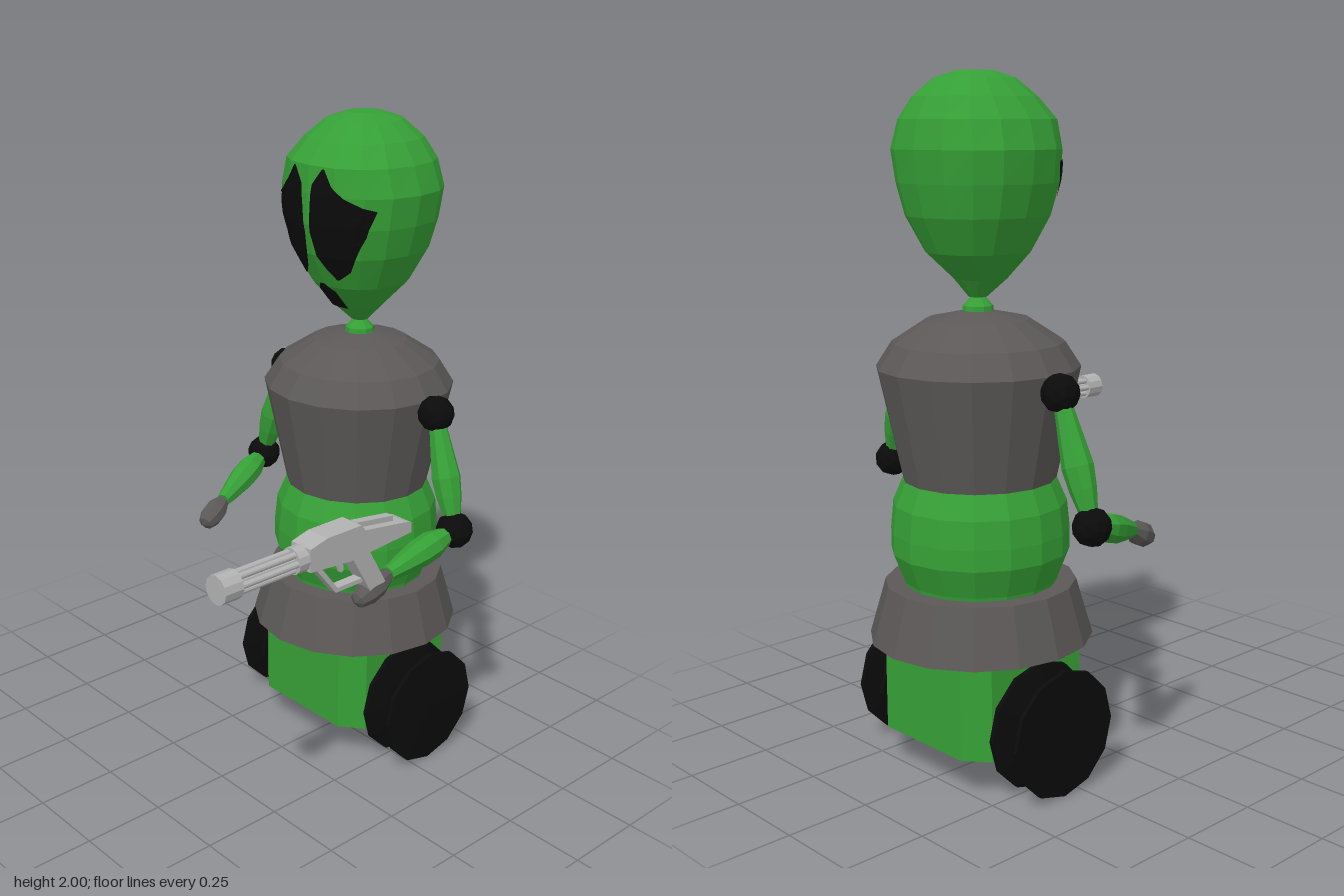
import * as THREE from 'three';

const mat = (name, color) => new THREE.MeshStandardMaterial({ name, color, flatShading: true });
const V = (x, y, z) => new THREE.Vector3(x, y, z);
const ZC = -0.315; // depth of the body axis

// Head sections: y, half width, front z, back z
const HEAD = [
  [1.385, 0.025, -0.29, -0.34], [1.435, 0.075, -0.235, -0.375], [1.51, 0.14, -0.17, -0.455],
  [1.61, 0.195, -0.12, -0.505], [1.7, 0.222, -0.098, -0.525], [1.79, 0.235, -0.095, -0.535],
  [1.87, 0.21, -0.1, -0.52], [1.93, 0.165, -0.15, -0.485], [1.98, 0.105, -0.205, -0.43],
  [2.0, 0.05, -0.265, -0.37],
];
const SIDES = 16;

function headPoint([y, w, zf, zb], i) {
  const a = (i / SIDES) * Math.PI * 2;
  const p = (t) => Math.sign(t) * Math.abs(t) ** 0.88;
  return V(w * p(Math.sin(a)), y, (zf + zb) / 2 + ((zf - zb) / 2) * p(Math.cos(a)));
}

// Depth of the face surface at x, y
function faceZ(x, y) {
  let k = 0;
  while (k < HEAD.length - 2 && HEAD[k + 1][0] < y) k++;
  const t = (y - HEAD[k][0]) / (HEAD[k + 1][0] - HEAD[k][0]);
  const section = HEAD[k].map((v, j) => v + (HEAD[k + 1][j] - v) * t);
  for (let i = 0; i < SIDES / 4; i++) {
    const a = headPoint(section, i), b = headPoint(section, i + 1);
    if (Math.abs(x) <= b.x || i === SIDES / 4 - 1) {
      return a.z + (b.z - a.z) * Math.min(1, (Math.abs(x) - a.x) / (b.x - a.x));
    }
  }
}

// Surface from rows of points, each row the same length
function gridGeometry(rows) {
  const n = rows[0].length, index = [];
  for (let r = 0; r < rows.length - 1; r++) {
    for (let c = 0; c < n - 1; c++) {
      const a = r * n + c, b = a + n;
      index.push(a, b, a + 1, b, b + 1, a + 1);
    }
  }
  const g = new THREE.BufferGeometry().setFromPoints(rows.flat());
  g.setIndex(index);
  g.computeVertexNormals();
  return g;
}

// Thin patch lying on the face; rows run downwards as [y, x1, x2]
function facePatch(table) {
  const rows = [];
  for (let k = 0; k < table.length - 1; k++) {
    for (let s = k ? 1 : 0; s <= 3; s++) {
      const [y, x1, x2] = table[k].map((v, j) => v + (table[k + 1][j] - v) * (s / 3));
      const l = Math.min(x1, x2), r = Math.max(x1, x2);
      rows.push(Array.from({ length: 9 }, (_, c) => {
        const x = l + ((r - l) * c) / 8;
        return V(x, y, faceZ(x, y) + 0.007);
      }));
    }
  }
  return gridGeometry(rows);
}

const lathe = (points, sides) =>
  new THREE.LatheGeometry(points.map(([r, y]) => new THREE.Vector2(r, y)), sides);

// Side outline in (z, y), extruded across x
function sidePlate(points, width) {
  const shape = new THREE.Shape(points.map(([z, y]) => new THREE.Vector2(z, y)));
  const g = new THREE.ExtrudeGeometry(shape, { depth: width, bevelEnabled: false });
  return g.translate(0, 0, -width / 2).rotateY(-Math.PI / 2);
}

export function createModel() {
  const green = mat('green skin', 0x36a036), grey = mat('dark grey armour', 0x5c5858);
  const black = mat('black', 0x0b0b0b), silver = mat('silver metal', 0xb2b2b2);
  const model = new THREE.Group();
  model.name = 'alienRobot';

  const add = (name, geometry, material, x = 0, y = 0, z = 0, parent = model) => {
    const m = new THREE.Mesh(geometry, material);
    m.name = name;
    m.position.set(x, y, z);
    parent.add(m);
    return m;
  };

  // Body of revolution
  add('skirt', lathe([[0, 0.4], [0.325, 0.4], [0.277, 0.565], [0, 0.565]], 16), grey, 0, 0, ZC);
  add('belly', lathe([[0.22, 0.55], [0.225, 0.575], [0.258, 0.66], [0.258, 0.72], [0.25, 0.8], [0.22, 0.87]], 16),
    green, 0, 0, ZC);
  add('torso', lathe([[0, 0.865], [0.22, 0.865], [0.29, 1.19], [0.245, 1.26], [0.145, 1.325], [0, 1.355]], 16),
    grey, 0, 0, ZC);
  add('neck', lathe([[0.045, 1.335], [0.043, 1.36], [0.02, 1.385], [0.025, 1.41]], 10), green, 0, 0, ZC);

  // Head with eyes and mouth
  const rings = HEAD.map((s) => Array.from({ length: SIDES + 1 }, (_, i) => headPoint(s, i)));
  const tip = (y) => Array.from({ length: SIDES + 1 }, () => V(0, y, ZC));
  add('head', gridGeometry([tip(1.38), ...rings, tip(2.0)].reverse()), green);
  const eye = [[1.865, 0.055, 0.062], [1.82, 0.022, 0.09], [1.79, 0.018, 0.125], [1.755, 0.015, 0.195],
    [1.68, 0.01, 0.17], [1.61, 0.02, 0.135], [1.57, 0.04, 0.11], [1.54, 0.064, 0.07]];
  for (const s of [-1, 1]) {
    add(s > 0 ? 'leftEye' : 'rightEye', facePatch(eye.map(([y, a, b]) => [y, a * s, b * s])), black);
  }
  add('mouth', facePatch([[1.52, -0.008, 0.008], [1.495, -0.034, 0.034], [1.435, -0.034, 0.034]]), black);

  // Chamfered base and spool wheels
  const base = new THREE.Shape([[0.165, 0.225], [0.235, 0.17], [0.235, -0.17], [0.165, -0.225],
    [-0.165, -0.225], [-0.235, -0.17], [-0.235, 0.17], [-0.165, 0.225]].map(([x, z]) => new THREE.Vector2(x, z)));
  add('base', new THREE.ExtrudeGeometry(base, { depth: 0.3, bevelEnabled: false }).rotateX(-Math.PI / 2),
    green, 0, 0.12, ZC);
  const wheel = [[0, 0], [0.185, 0], [0.185, 0.014], [0.115, 0.03], [0.072, 0.034],
    [0.072, 0.078], [0.115, 0.082], [0.185, 0.097], [0.185, 0.11], [0, 0.112]];
  for (const s of [-1, 1]) {
    add(s > 0 ? 'leftWheel' : 'rightWheel', lathe(wheel, 12), black, s * 0.24, 0.187, ZC).rotation.z = (-s * Math.PI) / 2;
  }

  // Arms: ball joints with spindle limbs between them
  const spindle = (name, profile, material, a, b, parent) => {
    const d = b.clone().sub(a), len = d.length();
    const m = add(name, lathe(profile.map(([r, t]) => [r, t * len]), 8), material, a.x, a.y, a.z, parent);
    m.quaternion.setFromUnitVectors(V(0, 1, 0), d.normalize());
  };
  const upper = [[0, 0], [0.025, 0.08], [0.034, 0.3], [0.044, 0.55], [0.038, 0.72], [0.022, 0.95], [0, 1]];
  const fore = [[0, 0], [0.024, 0.1], [0.042, 0.35], [0.042, 0.55], [0.032, 0.8], [0.022, 1], [0, 1]];
  const hand = [[0, 0], [0.02, 0.02], [0.036, 0.35], [0.036, 0.65], [0.024, 0.92], [0, 1]];
  const arms = {
    right: [V(-0.337, 1.155, -0.322), V(-0.46, 0.812, -0.325), V(-0.367, 0.735, -0.07), V(-0.34, 0.685, 0.035)],
    left: [V(0.325, 1.165, -0.315), V(0.445, 0.843, -0.283), V(0.455, 0.795, 0.0), V(0.465, 0.755, 0.14)],
  };
  for (const [side, [shoulder, elbow, wrist, fingers]] of Object.entries(arms)) {
    const arm = new THREE.Group();
    arm.name = side + 'Arm';
    model.add(arm);
    add('shoulderJoint', new THREE.IcosahedronGeometry(0.055, 1), black, ...shoulder.toArray(), arm);
    add('elbowJoint', new THREE.IcosahedronGeometry(0.055, 1), black, ...elbow.toArray(), arm);
    spindle('upperArm', upper, green, shoulder, elbow, arm);
    spindle('forearm', fore, green, elbow, wrist, arm);
    spindle('hand', hand, grey, wrist, fingers, arm);
  }

  // Blaster in the left hand
  const gun = new THREE.Group();
  gun.name = 'blaster';
  gun.position.x = 0.463;
  model.add(gun);
  const part = (name, geometry) => add(name, geometry, silver, 0, 0, 0, gun);
  const tube = (name, r, z0, z1, x = 0, y = 0.957) =>
    part(name, new THREE.CylinderGeometry(r, r, z1 - z0, 12).rotateX(Math.PI / 2).translate(x, y, (z0 + z1) / 2));
  part('gunBody', sidePlate([[0.34, 0.925], [0.34, 0.992], [0.28, 1.007], [0.155, 1.007], [0.14, 0.988],
    [-0.02, 0.965], [-0.04, 0.958], [-0.04, 0.928], [0.19, 0.912]], 0.075));
  part('gunSight', sidePlate([[0.15, 0.98], [0.15, 1.005], [0.01, 0.985], [0.01, 0.96]], 0.026));
  part('grip', sidePlate([[0.18, 0.92], [0.12, 0.93], [0.045, 0.8], [0.095, 0.775]], 0.05));
  part('triggerGuard', sidePlate([[0.31, 0.925], [0.225, 0.82], [0.125, 0.82], [0.125, 0.833],
    [0.219, 0.833], [0.29, 0.925]], 0.03));
  part('trigger', sidePlate([[0.215, 0.92], [0.195, 0.92], [0.19, 0.872], [0.2, 0.87]], 0.014));
  tube('barrelCollar', 0.038, 0.33, 0.375);
  tube('barrelCore', 0.02, 0.36, 0.6);
  for (let i = 0; i < 6; i++) {
    const a = (i / 6) * Math.PI * 2;
    tube('barrelRod', 0.009, 0.36, 0.58, 0.025 * Math.cos(a), 0.957 + 0.025 * Math.sin(a));
  }
  tube('muzzle', 0.041, 0.568, 0.628);

  return model;
}
